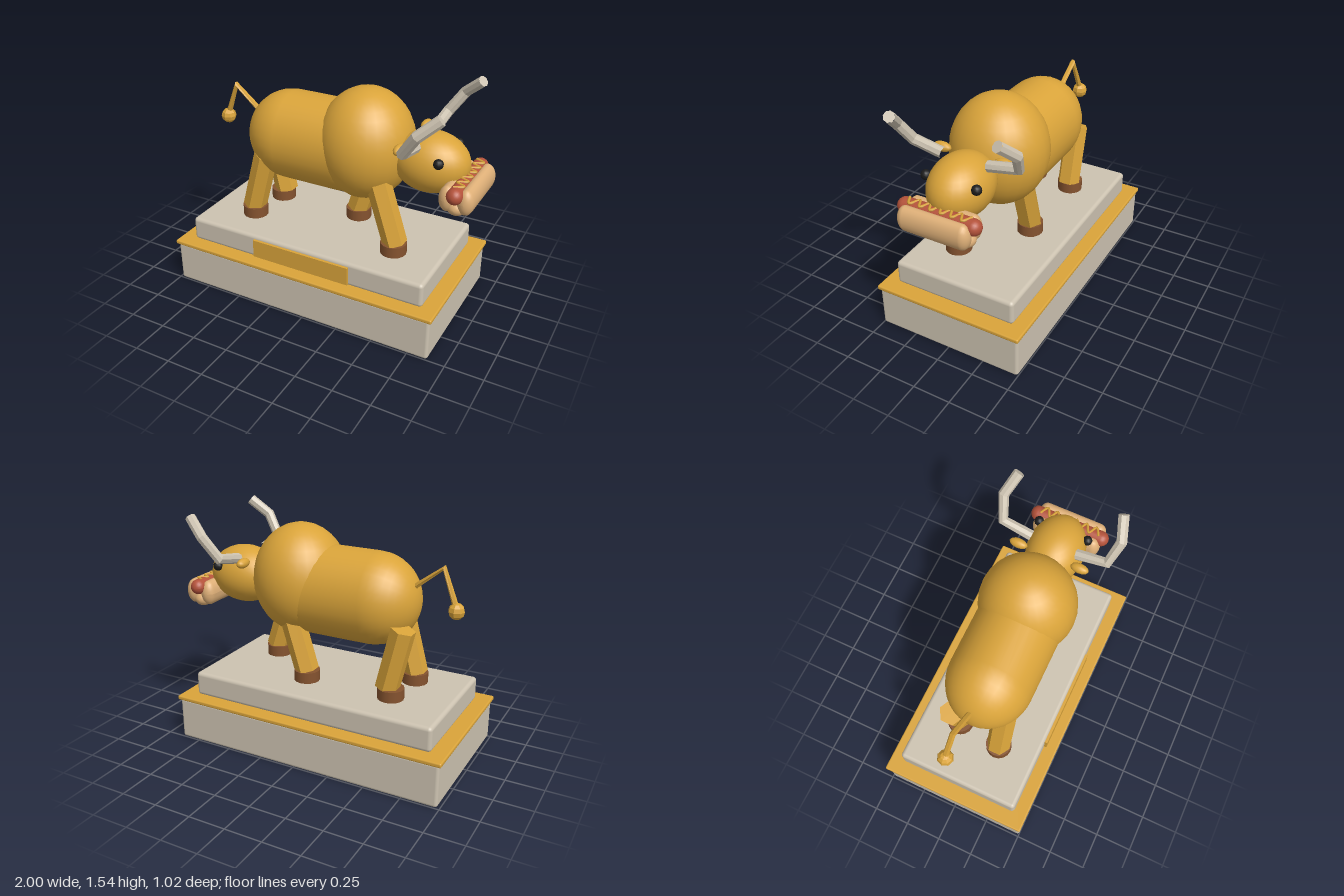
import * as THREE from 'three';
import { RoundedBoxGeometry } from 'three/addons/geometries/RoundedBoxGeometry.js';

const material = (name, color, flatShading = false) => {
  const m = new THREE.MeshStandardMaterial({ color });
  m.name = name;
  m.flatShading = flatShading;
  return m;
};

// Tube through straight segments, with one mitred ring at every point
class Polyline extends THREE.Curve {
  constructor(points) {
    super();
    this.points = points.map((p) => new THREE.Vector3(...p));
  }
  index(u) {
    return Math.round(u * (this.points.length - 1));
  }
  getPointAt(u, target = new THREE.Vector3()) {
    return target.copy(this.points[this.index(u)]);
  }
  getTangentAt(u, target = new THREE.Vector3()) {
    const i = this.index(u), p = this.points;
    target.set(0, 0, 0);
    if (i > 0) target.add(p[i].clone().sub(p[i - 1]).normalize());
    if (i < p.length - 1) target.add(p[i + 1].clone().sub(p[i]).normalize());
    return target.normalize();
  }
}

export function createModel() {
  const gold = material('gold', 0xdaa43a);
  const stone = material('stone', 0xcdc3b1);
  const brown = material('hoof brown', 0x85532f);
  const red = material('sausage red', 0xb4523a);
  const bunTan = material('bun tan', 0xdfb078);
  const black = material('eye black', 0x1c1c1c);

  const root = new THREE.Group();
  root.name = 'bullStatue';

  const add = (name, geometry, mat, x = 0, y = 0, z = 0) => {
    const mesh = new THREE.Mesh(geometry, mat);
    mesh.name = name;
    mesh.position.set(x, y, z);
    root.add(mesh);
    return mesh;
  };
  const ellipsoid = (name, mat, p, r, w = 28, h = 18) => {
    const mesh = add(name, new THREE.SphereGeometry(1, w, h), mat, ...p);
    mesh.scale.set(...r);
    return mesh;
  };
  const faceted = (geometry) => {
    const g = geometry.toNonIndexed();
    g.computeVertexNormals();
    return g;
  };
  // Straight round or polygonal bar between two points
  const rod = (name, mat, a, b, r, sides) => {
    const from = new THREE.Vector3(...a), dir = new THREE.Vector3(...b).sub(from);
    const mesh = add(name, faceted(new THREE.CylinderGeometry(r, r, dir.length(), sides)), mat);
    mesh.position.copy(from).addScaledVector(dir, 0.5);
    mesh.quaternion.setFromUnitVectors(new THREE.Vector3(0, 1, 0), dir.normalize());
    return mesh;
  };
  const bentTube = (name, mat, points, r, sides) => {
    const path = new Polyline(points);
    add(name, faceted(new THREE.TubeGeometry(path, points.length - 1, r, sides)), mat);
    // End cap
    const cap = add(name + 'Tip', new THREE.CircleGeometry(r, sides), mat, ...points.at(-1));
    cap.quaternion.setFromUnitVectors(new THREE.Vector3(0, 0, 1), path.getTangentAt(1));
  };

  // Plinth
  add('plinthBase', new RoundedBoxGeometry(1.87, 0.29, 1, 3, 0.02), stone, -0.05, 0.145, 0);
  add('plinthTrim', new RoundedBoxGeometry(1.9, 0.03, 1.02, 2, 0.01), gold, -0.05, 0.295, 0);
  add('plinthTop', new RoundedBoxGeometry(1.7, 0.165, 0.84, 3, 0.025), stone, -0.05, 0.3875, 0);
  add('plaque', new THREE.BoxGeometry(0.7, 0.125, 0.03), gold, -0.05, 0.383, 0.423);

  // Trunk, shoulder hump and head
  const trunk = new THREE.CapsuleGeometry(0.3, 0.4, 10, 32);
  trunk.rotateZ(Math.PI / 2);
  add('trunk', trunk, gold, -0.13, 1.06, 0).scale.z = 0.92;
  ellipsoid('shoulderHump', gold, [0.21, 1.117, 0], [0.312, 0.365, 0.317]);
  ellipsoid('head', gold, [0.645, 1.085, 0], [0.25, 0.195, 0.19]);

  // Eyes, ears and horns
  for (const s of [1, -1]) {
    const side = s > 0 ? 'left' : 'right';
    ellipsoid(side + 'Eye', black, [0.755, 1.16, s * 0.17], [0.032, 0.032, 0.032], 10, 8);
    ellipsoid(side + 'Ear', gold, [0.522, 1.22, s * 0.21], [0.032, 0.032, 0.062], 12, 8);
    bentTube(side + 'Horn', stone, [
      [0.6, 1.23, s * 0.155], [0.605, 1.272, s * 0.355],
      [0.7, 1.41, s * 0.395], [0.82, 1.515, s * 0.345],
    ], 0.036, 8);
  }

  // Legs and hooves: top x, bottom x, hoof x, side
  for (const [name, top, bottom, hoof, s] of [
    ['frontNear', 0.365, 0.495, 0.485, 1],
    ['frontFar', 0.21, 0.085, 0.085, -1],
    ['hindNear', -0.455, -0.565, -0.56, 1],
    ['hindFar', -0.59, -0.495, -0.52, -1],
  ]) {
    const z = s * 0.152;
    rod(name + 'Leg', gold, [bottom, 0.535, z], [top, 0.94, z], 0.08, 6);
    add(name + 'Hoof', new THREE.CylinderGeometry(0.086, 0.086, 0.075, 16), brown, hoof, 0.505, z);
  }

  // Tail with tuft
  bentTube('tail', gold, [
    [-0.59, 1.17, -0.005], [-0.78, 1.32, -0.015], [-0.87, 1.1, -0.035],
  ], 0.019, 6);
  add('tailTuft', faceted(new THREE.SphereGeometry(0.052, 8, 6)), gold, -0.877, 1.07, -0.035);

  // Hot dog held in the mouth
  const roll = (name, mat, x, y, rx, ry, halfLength) => {
    const g = new THREE.CapsuleGeometry(1, 1, 8, 20);
    // Pull the rounded ends out to the wanted length
    const p = g.attributes.position;
    for (let i = 0; i < p.count; i++) {
      const v = p.getY(i), end = Math.sign(v);
      const dome = Math.abs(v) - 0.5;
      p.setXYZ(i, p.getX(i) * rx, end * (halfLength - rx + dome * rx), p.getZ(i) * ry);
    }
    g.rotateX(Math.PI / 2);
    g.computeVertexNormals();
    add(name, g, mat, x, y, 0);
  };
  roll('outerBun', bunTan, 0.945, 0.967, 0.052, 0.084, 0.24);
  roll('innerBun', bunTan, 0.83, 0.967, 0.052, 0.084, 0.24);
  roll('lowerBun', bunTan, 0.887, 0.915, 0.06, 0.05, 0.235);
  roll('sausage', red, 0.887, 1.01, 0.051, 0.051, 0.278);

  // Mustard squiggle along the sausage
  const squiggle = [];
  for (let i = 0; i <= 12; i++) {
    squiggle.push(new THREE.Vector3(0.895 + (i % 2 ? 0.028 : -0.028), 1.058, -0.21 + i * 0.035));
  }
  add('mustard', new THREE.TubeGeometry(new THREE.CatmullRomCurve3(squiggle), 72, 0.009, 6), gold);

  return root;
}
